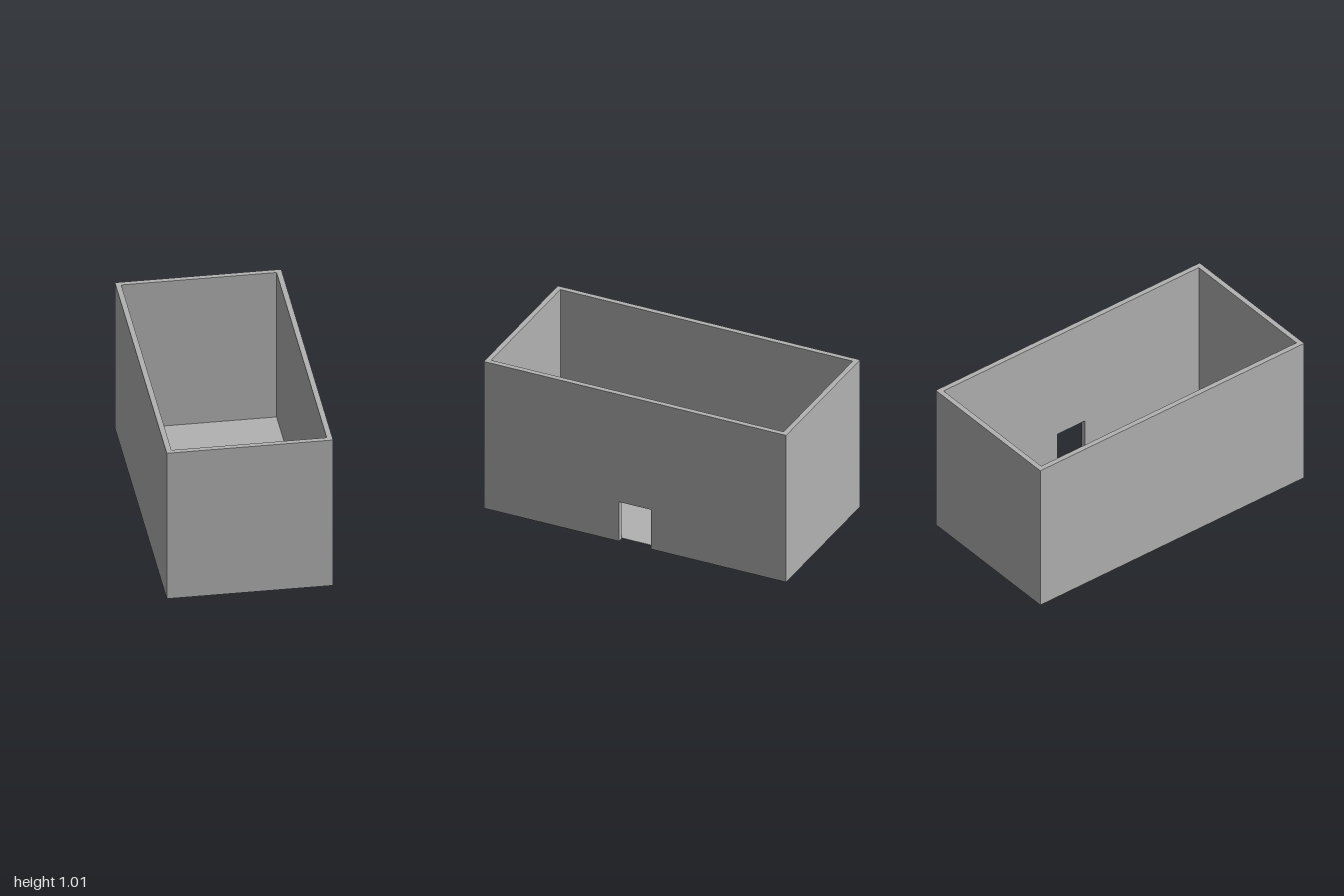
import * as THREE from 'three';

const HX = 0.5, HZ = 1, H = 1.007;   // outer half sizes and height
const T = 0.033;                     // wall thickness
const FLOOR = 0.007;
const DOOR_HALF = 0.105, DOOR_H = 0.27;

const shapeFrom = (pts) => new THREE.Shape(pts.map(([x, y]) => new THREE.Vector2(x, y)));
const extrude = (pts, depth) =>
  new THREE.ExtrudeGeometry(shapeFrom(pts), { depth, bevelEnabled: false });

export function createModel() {
  const group = new THREE.Group();
  const grey = new THREE.MeshStandardMaterial({ color: 0xb2b2b2 });
  grey.name = 'wall grey';

  const add = (name, geometry) => {
    const mesh = new THREE.Mesh(geometry, grey);
    mesh.name = name;
    group.add(mesh);
    return mesh;
  };

  const ix = HX - T, iz = HZ - T;

  // Front, back and closed side wall as one U-shaped footprint raised to full height
  const closed = extrude([
    [ix, -HZ], [ix, -iz], [-ix, -iz], [-ix, iz],
    [ix, iz], [ix, HZ], [-HX, HZ], [-HX, -HZ],
  ], H);
  closed.rotateX(-Math.PI / 2);
  add('closedWalls', closed);

  // Left side wall, notched at the bottom for the doorway
  const doorWall = extrude([
    [-HZ, 0], [-DOOR_HALF, 0], [-DOOR_HALF, DOOR_H], [DOOR_HALF, DOOR_H],
    [DOOR_HALF, 0], [HZ, 0], [HZ, H], [-HZ, H],
  ], T);
  doorWall.rotateY(Math.PI / 2);
  add('doorWall', doorWall).position.x = ix;

  // Thin floor between the walls
  add('floor', new THREE.BoxGeometry(2 * ix, FLOOR, 2 * iz)).position.y = FLOOR / 2;

  return group;
}
